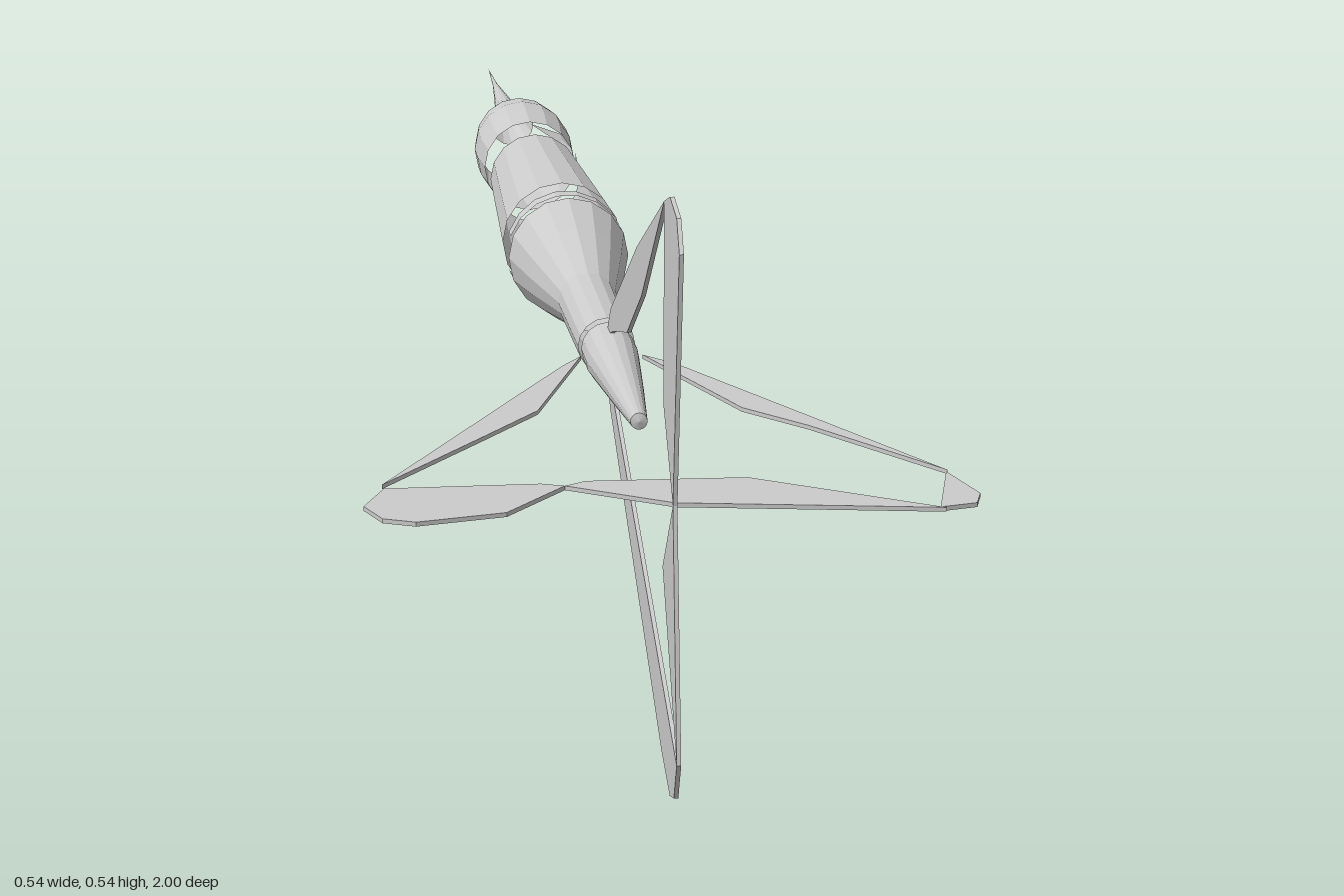
import * as THREE from 'three';

const AXIS = 0.272; // height of the dart's long axis
const SIDES = 16;
const THICK = 0.004;

const material = new THREE.MeshStandardMaterial({
  color: 0xcccccc, flatShading: true, side: THREE.DoubleSide,
});

export function createModel() {
  const group = new THREE.Group();
  group.name = 'dart';

  function add(name, geometry) {
    const mesh = new THREE.Mesh(geometry, material);
    mesh.name = name;
    mesh.position.y = AXIS;
    group.add(mesh);
  }

  // Turned section along z; profile is [radius, z] pairs
  function turned(name, profile, start = 0, sweep = Math.PI * 2, sides = SIDES) {
    const points = profile.map(([r, z]) => new THREE.Vector2(r, z));
    add(name, new THREE.LatheGeometry(points, sides, start, sweep).rotateX(Math.PI / 2));
  }

  // Thin plate cut from an outline, centred on its own plane
  function plate(outline) {
    const shape = new THREE.Shape(outline.map(([a, b]) => new THREE.Vector2(a, b)));
    return new THREE.ExtrudeGeometry(shape, { depth: THICK, bevelEnabled: false })
      .translate(0, 0, -THICK / 2);
  }
  // Outlines are [z, y above the floor]
  const verticalFin = (name, outline) =>
    add(name, plate(outline.map(([z, y]) => [z, y - AXIS])).rotateY(-Math.PI / 2));
  // Outlines are [x, z]
  const horizontalFin = (name, outline) => add(name, plate(outline).rotateX(Math.PI / 2));

  // Point and separate barrel sections
  turned('point', [[0, -1], [0.003, -0.9], [0.012, -0.76], [0.025, -0.665]]);
  turned('frontGrip', [[0.05, -0.575], [0.055, -0.53], [0.055, -0.49], [0.051, -0.433]]);
  turned('mainGrip', [[0.05, -0.37], [0.056, -0.23], [0.063, -0.057]]);

  // Collar, open at the two sides
  for (const middle of [0, Math.PI]) {
    turned('collarArc', [[0.063, -0.02], [0.063, 0.002]], middle - 1.25, 2.5, 7);
  }

  // Shaft and tail cone
  turned('shaft', [[0.063, 0.015], [0.05, 0.1], [0.03, 0.215], [0.028, 0.397]]);
  turned('tailCone', [[0.026, 0.405], [0.026, 0.45], [0.017, 0.57], [0.008, 0.68], [0, 0.682]]);

  // Slender shards bridging the barrel gaps
  function shard(points) {
    const corners = points.map(([x, y, z]) => new THREE.Vector3(x, y, z));
    const geometry = new THREE.BufferGeometry().setFromPoints(corners);
    geometry.computeVertexNormals();
    add('bridgeShard', geometry);
  }
  shard([[0.05, 0, -0.37], [0.052, 0.016, -0.435], [0.052, -0.016, -0.435]]);
  shard([[0.022, 0, -0.665], [0.05, 0.006, -0.575], [0.05, -0.006, -0.575]]);

  // Upper flight
  verticalFin('upperFlightEdge', [
    [0.41, 0.285], [0.449, 0.322], [0.674, 0.436], [0.888, 0.527],
    [0.715, 0.4], [0.594, 0.335], [0.47, 0.305],
  ]);
  verticalFin('upperFlightTail', [
    [0.963, 0.272], [0.888, 0.345], [0.888, 0.527], [0.93, 0.54], [0.98, 0.532], [1, 0.505],
  ]);

  // Lower flight
  verticalFin('lowerFlightEdge', [
    [0.41, 0.255], [0.449, 0.222], [0.882, 0.024], [0.95, 0.002],
    [0.98, 0.01], [1, 0.047], [0.48, 0.238],
  ]);
  verticalFin('lowerFlightTail', [[0.963, 0.272], [0.888, 0.195], [1, 0.047]]);

  // Right flight
  horizontalFin('rightFlightEdge', [
    [-0.03, 0.442], [-0.05, 0.475], [-0.1, 0.575], [-0.25, 0.878], [-0.148, 0.727], [-0.09, 0.64],
  ]);
  horizontalFin('rightFlightTail', [
    [-0.249, 0.89], [-0.27, 0.945], [-0.256, 0.985], [-0.228, 0.998],
    [-0.148, 0.976], [-0.09, 0.897], [-0.11, 0.888],
  ]);

  // Left flight
  horizontalFin('leftFlightEdge', [
    [0.03, 0.442], [0.058, 0.479], [0.254, 0.878], [0.153, 0.717], [0.1, 0.648],
  ]);
  horizontalFin('leftFlightTip', [[0.252, 0.883], [0.27, 0.955], [0.262, 0.985], [0.228, 0.995]]);
  horizontalFin('leftFlightTail', [
    [-0.09, 0.897], [-0.07, 0.883], [0.074, 0.885], [0.233, 0.997], [0, 0.96],
  ]);

  return group;
}
